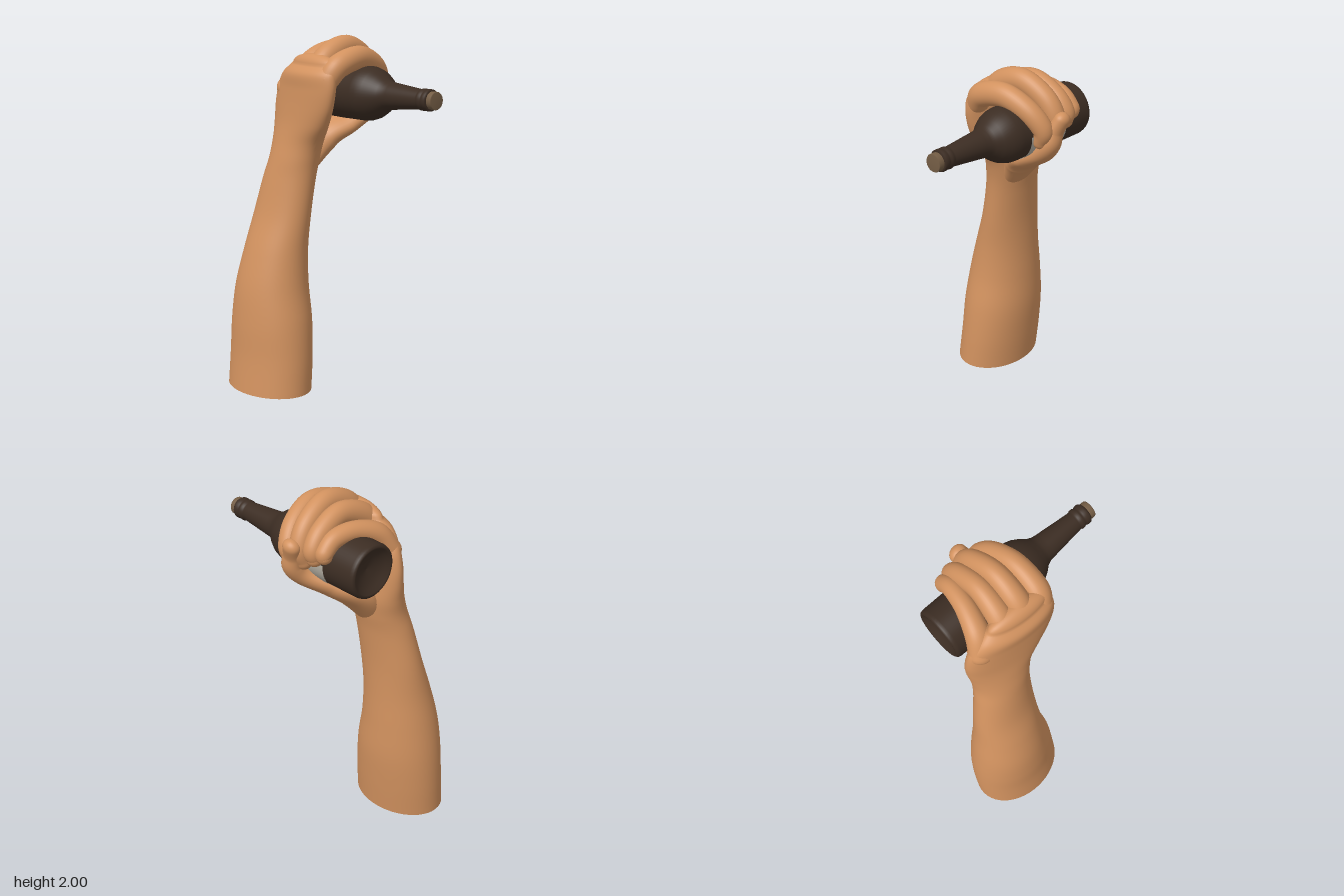
import * as THREE from 'three';

const skin = new THREE.MeshStandardMaterial({ color: 0xd2925f });
skin.name = 'skin';
const glass = new THREE.MeshStandardMaterial({ color: 0x3c2d23 });
glass.name = 'brown glass';
const capTan = new THREE.MeshStandardMaterial({ color: 0x745d45 });
capTan.name = 'tan cap';
const paper = new THREE.MeshStandardMaterial({ color: 0xb4aea2, side: THREE.DoubleSide });
paper.name = 'label paper';

// Sweeps an oval along points [x, y, z, thickness, width along z, slant].
// level keeps every section horizontal and closes the start with a flat face.
function sweep(name, points, { level = false, steps = 40, sides = 32 } = {}) {
  const path = new THREE.CatmullRomCurve3(points.map(p => new THREE.Vector3(p[0], p[1], p[2])), false, 'catmullrom');
  const sizes = new THREE.CatmullRomCurve3(points.map(p => new THREE.Vector3(p[3], p[4], p[5] || 0)), false, 'catmullrom');
  const positions = [], indices = [];
  let rings = 0;

  function ring(t, scale, push) {
    const c = path.getPoint(t), size = sizes.getPoint(t);
    const along = level ? new THREE.Vector3(0, 1, 0) : path.getTangent(t);
    const side = new THREE.Vector3(0, 0, 1).addScaledVector(along, -along.z).normalize();
    const out = along.clone().cross(side);
    c.addScaledVector(along, push * Math.min(size.x, size.y));
    for (let j = 0; j < sides; j++) {
      const a = j / sides * Math.PI * 2;
      const w = size.y * Math.sin(a) * scale;
      const v = c.clone().addScaledVector(side, w)
        .addScaledVector(out, size.x * Math.cos(a) * scale + size.z * w);
      positions.push(v.x, v.y, v.z);
    }
    rings++;
  }

  const roundEnd = 8;
  if (level) {
    ring(0, 0, 0);
    ring(0, 1, 0);
  } else {
    for (let i = 0; i < roundEnd; i++) {
      const a = i / roundEnd * Math.PI / 2;
      ring(0, Math.sin(a), -Math.cos(a));
    }
  }
  const bodyStart = rings;
  for (let i = 0; i <= steps; i++) ring(i / steps, 1, 0);
  for (let i = 1; i <= roundEnd; i++) {
    const a = i / roundEnd * Math.PI / 2;
    ring(1, Math.cos(a), Math.sin(a));
  }
  for (let i = 0; i < rings - 1; i++) {
    if (level && i === bodyStart - 1) continue; // sharp rim at the flat end
    for (let j = 0; j < sides; j++) {
      const k = (j + 1) % sides;
      const a = i * sides + j, b = a + sides, c = i * sides + k, d = c + sides;
      indices.push(a, b, c, c, b, d);
    }
  }
  const geometry = new THREE.BufferGeometry();
  geometry.setAttribute('position', new THREE.Float32BufferAttribute(positions, 3));
  geometry.setIndex(indices);
  geometry.computeVertexNormals();
  const mesh = new THREE.Mesh(geometry, skin);
  mesh.name = name;
  return mesh;
}

function buildHand() {
  const hand = new THREE.Group();
  hand.name = 'armAndHand';

  // Forearm, wrist and palm in one skin
  hand.add(sweep('forearmAndPalm', [
    [-0.235, 0, -0.315, 0.205, 0.275],
    [-0.215, 0.2, -0.32, 0.205, 0.27],
    [-0.203, 0.4, -0.325, 0.207, 0.255],
    [-0.193, 0.6, -0.33, 0.193, 0.225],
    [-0.17, 0.8, -0.32, 0.165, 0.2],
    [-0.135, 1.0, -0.303, 0.135, 0.188],
    [-0.103, 1.2, -0.278, 0.123, 0.173],
    [-0.08, 1.32, -0.258, 0.122, 0.17, -0.05],
    [-0.065, 1.42, -0.243, 0.115, 0.187, -0.1],
    [-0.065, 1.52, -0.215, 0.1, 0.225, -0.14],
    [-0.068, 1.62, -0.19, 0.09, 0.25, -0.15],
    [-0.07, 1.72, -0.165, 0.085, 0.25, -0.15],
    [-0.073, 1.8, -0.135, 0.083, 0.22, -0.12],
    [-0.06, 1.85, -0.11, 0.06, 0.18, -0.1],
  ], { level: true, steps: 90, sides: 48 }));

  // Four fingers curled over the bottle
  const fingers = {
    indexFinger: [[-0.09, 1.78, 0.02, 0.06, 0.065], [-0.03, 1.85, 0.045, 0.066, 0.065], [0.12, 1.885, 0.05, 0.065, 0.06],
      [0.26, 1.83, 0.03, 0.06, 0.058], [0.335, 1.74, 0, 0.054, 0.054], [0.32, 1.67, -0.01, 0.045, 0.048]],
    middleFinger: [[-0.09, 1.79, -0.08, 0.06, 0.068], [0, 1.89, -0.075, 0.068, 0.066], [0.14, 1.935, -0.07, 0.065, 0.06],
      [0.28, 1.87, -0.08, 0.062, 0.058], [0.345, 1.77, -0.09, 0.055, 0.055], [0.33, 1.69, -0.1, 0.045, 0.048]],
    ringFinger: [[-0.08, 1.77, -0.2, 0.06, 0.07], [0, 1.86, -0.185, 0.066, 0.066], [0.14, 1.905, -0.17, 0.063, 0.058],
      [0.27, 1.855, -0.17, 0.06, 0.056], [0.338, 1.785, -0.175, 0.052, 0.052], [0.335, 1.735, -0.18, 0.044, 0.046]],
    littleFinger: [[-0.045, 1.7, -0.34, 0.06, 0.075], [0.02, 1.8, -0.31, 0.06, 0.065], [0.14, 1.845, -0.27, 0.052, 0.055],
      [0.26, 1.835, -0.245, 0.05, 0.05], [0.325, 1.785, -0.24, 0.045, 0.047], [0.33, 1.765, -0.24, 0.042, 0.044]],
  };
  for (const [name, points] of Object.entries(fingers)) hand.add(sweep(name, points));

  // Thumb and its muscle, passing under the bottle and up the far side
  hand.add(sweep('thumb', [
    [-0.03, 1.3, -0.23, 0.06, 0.1],
    [0.07, 1.44, -0.2, 0.08, 0.14],
    [0.19, 1.515, -0.12, 0.062, 0.12],
    [0.3, 1.585, -0.06, 0.054, 0.076],
    [0.355, 1.65, -0.045, 0.05, 0.062],
    [0.368, 1.72, -0.06, 0.044, 0.054],
    [0.395, 1.785, -0.08, 0.041, 0.05],
  ], { steps: 50 }));
  return hand;
}

function buildBottle() {
  const bottle = new THREE.Group();
  bottle.name = 'bottle';
  const lathe = (name, profile, material) => {
    const mesh = new THREE.Mesh(new THREE.LatheGeometry(profile.map(p => new THREE.Vector2(p[0], p[1])), 48), material);
    mesh.name = name;
    bottle.add(mesh);
  };

  // Body with hollowed base, shoulder, neck and lip
  lathe('bottleBody', [
    [0, 0.05], [0.06, 0.042], [0.105, 0.02], [0.125, 0.002], [0.135, 0], [0.145, 0.008], [0.149, 0.025],
    [0.15, 0.3], [0.15, 0.52], [0.147, 0.555], [0.135, 0.595], [0.112, 0.635], [0.088, 0.665], [0.077, 0.69],
    [0.073, 0.72], [0.062, 0.83], [0.053, 0.92], [0.053, 0.93], [0.058, 0.936], [0.058, 0.95], [0.054, 0.956],
    [0.054, 0.965], [0.058, 0.972], [0.058, 0.99], [0.052, 0.998], [0, 0.998],
  ], glass);
  lathe('bottleCap', [[0.047, 0.995], [0.048, 1.0], [0.048, 1.026], [0.045, 1.031], [0, 1.031]], capTan);

  // Label wrapped around the lower far side
  const label = new THREE.Mesh(new THREE.CylinderGeometry(0.1525, 0.1525, 0.27, 24, 1, true, 0.25, 1.35), paper);
  label.name = 'bottleLabel';
  label.position.y = 0.34;
  bottle.add(label);

  const base = new THREE.Vector3(0.175, 1.684, -0.431);
  const axis = new THREE.Vector3(0.133, 1.7, 0.6).sub(base).normalize();
  bottle.position.copy(base);
  bottle.quaternion.setFromUnitVectors(new THREE.Vector3(0, 1, 0), axis);
  return bottle;
}

export function createModel() {
  const model = new THREE.Group();
  model.name = 'handHoldingBottle';
  model.add(buildHand(), buildBottle());
  return model;
}
